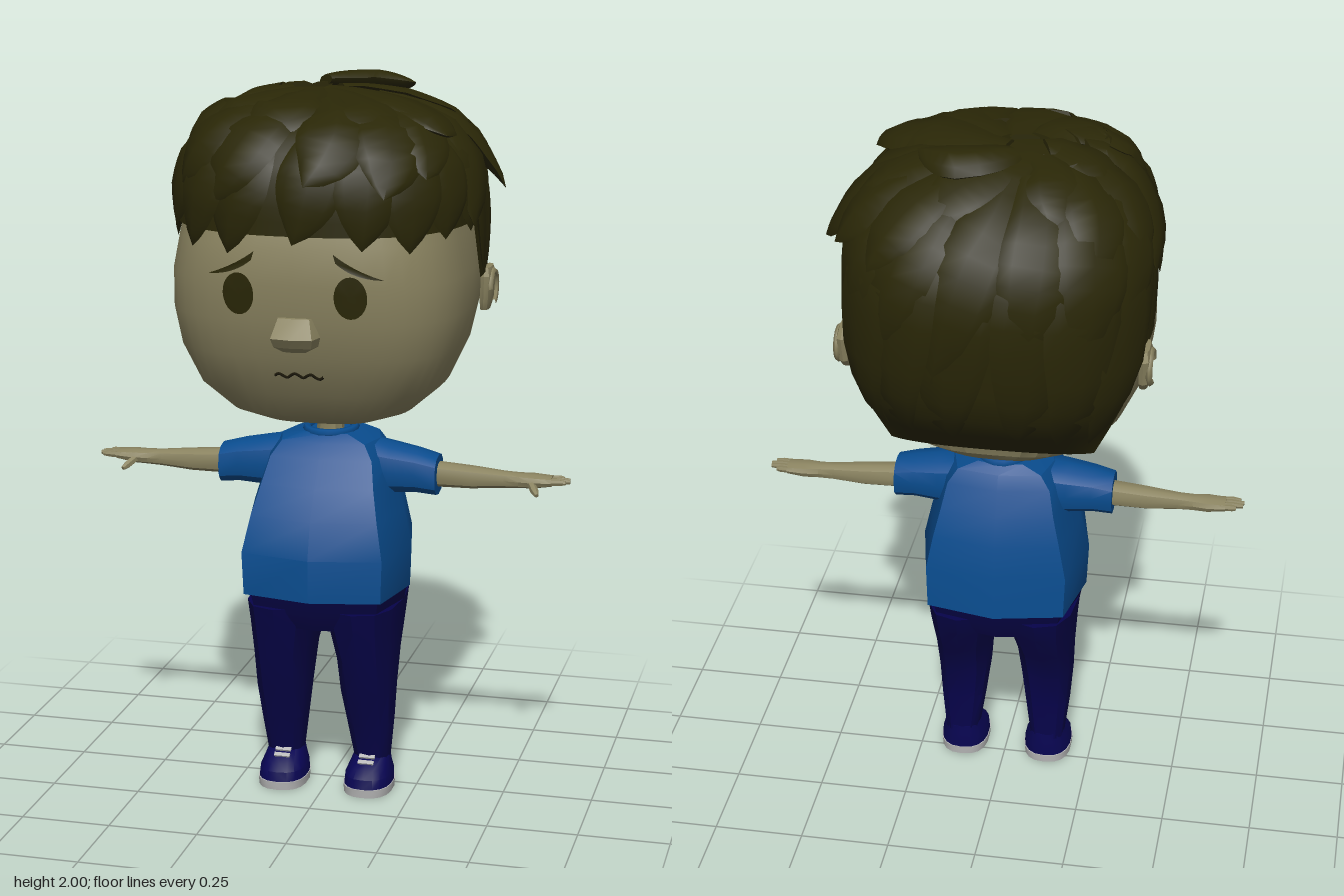
import * as THREE from 'three';
import { toCreasedNormals } from 'three/addons/utils/BufferGeometryUtils.js';

const mat = (name, color, side = THREE.FrontSide) => {
  const m = new THREE.MeshStandardMaterial({ color, side });
  m.name = name;
  return m;
};

// Skin over a list of rings (arrays of Vector3), closed at the start and end unless told otherwise
function skin(rings, crease = 0.6, closeStart = true) {
  const n = rings[0].length, pos = [], idx = [];
  rings.forEach(r => r.forEach(p => pos.push(p.x, p.y, p.z)));
  for (let i = 0; i < rings.length - 1; i++) for (let j = 0; j < n; j++) {
    const a = i * n + j, b = i * n + (j + 1) % n;
    idx.push(a, b, b + n, a, b + n, a + n);
  }
  [0, rings.length - 1].forEach((i, top) => {
    if (!top && !closeStart) return;
    const c = rings[i].reduce((s, p) => s.add(p), new THREE.Vector3()).divideScalar(n);
    const k = pos.length / 3;
    pos.push(c.x, c.y, c.z);
    for (let j = 0; j < n; j++) {
      const a = i * n + j, b = i * n + (j + 1) % n;
      top ? idx.push(k, a, b) : idx.push(k, b, a);
    }
  });
  const g = new THREE.BufferGeometry();
  g.setAttribute('position', new THREE.Float32BufferAttribute(pos, 3));
  g.setIndex(idx);
  return toCreasedNormals(g, crease);
}

// Rows are [y, centreX, halfX, zFront, zBack]; sections are superellipses
const pw = (v, e) => Math.sign(v) * Math.abs(v) ** e;
const onRow = ([y, cx, hx, zf, zb], a, n) => new THREE.Vector3(
  cx + hx * pw(Math.sin(a), 2 / n), y, (zf + zb) / 2 + (zf - zb) / 2 * pw(Math.cos(a), 2 / n));
const loft = (rows, n = 2.5, sides = 20, crease = 0.6) => skin(rows.map(r =>
  Array.from({ length: sides }, (_, j) => onRow(r, j / sides * Math.PI * 2, n))), crease);
function rowAt(rows, y) {
  let i = 0;
  while (i < rows.length - 2 && y > rows[i + 1][0]) i++;
  const t = THREE.MathUtils.clamp((y - rows[i][0]) / (rows[i + 1][0] - rows[i][0]), 0, 1);
  return rows[i].map((v, k) => v + (rows[i + 1][k] - v) * t);
}
// Loft along +x from rows [x, centreY, halfY, zFront, zBack]
const loftX = (rows, n, sides) =>
  loft(rows.map(([x, y, ...r]) => [x, -y, ...r]), n, sides).rotateZ(-Math.PI / 2);

// Mirror in x, keeping faces outward
function mirror(src) {
  const g = src.index ? src.toNonIndexed() : src.clone();
  g.scale(-1, 1, 1);
  for (const a of Object.values(g.attributes))
    for (let i = 0; i < a.count; i += 3) for (let k = 0; k < a.itemSize; k++) {
      const u = a.getComponent(i + 1, k);
      a.setComponent(i + 1, k, a.getComponent(i + 2, k));
      a.setComponent(i + 2, k, u);
    }
  return g;
}

const HEAD = [[1.09, 0, .17, .2, -.16], [1.12, 0, .25, .26, -.19], [1.19, 0, .33, .31, -.21], [1.3, 0, .38, .365, -.28],
  [1.4, 0, .4, .388, -.33], [1.5, 0, .4, .4, -.36], [1.6, 0, .382, .395, -.38], [1.75, 0, .35, .34, -.36], [1.88, 0, .2, .2, -.22]];
const HAIR = [[1.16, 0, .3, -.1, -.23], [1.33, 0, .385, .26, -.405], [1.46, 0, .408, .38, -.43], [1.62, 0, .4, .408, -.445],
  [1.72, 0, .39, .405, -.435], [1.8, 0, .365, .385, -.395], [1.87, -.005, .315, .335, -.33], [1.92, -.015, .23, .255, -.25],
  [1.95, -.05, .12, .12, -.18], [1.96, -.08, 0, -.06, -.06]];
const TOP = 1.96, RAD = Math.PI / 180, HAIR_N = 2.6;

// Depth of the face surface, used to lay features on it
function faceZ(x, y) {
  const [, , hx, zf, zb] = rowAt(HEAD, y);
  return (zf + zb) / 2 + (zf - zb) / 2 * (1 - Math.min(1, Math.abs(x / hx)) ** 3) ** (1 / 3);
}
function onFace(g, lift) {
  const p = g.attributes.position;
  for (let i = 0; i < p.count; i++) p.setZ(i, faceZ(p.getX(i), p.getY(i)) + lift);
  g.computeVertexNormals();
  return g;
}

// Lower edge of the hair by angle from the front
function hem(a) {
  const d = Math.abs(((a / RAD + 540) % 360) - 180);
  return d < 87 ? 1.63 : d < 116 ? 1.465 : 1.16;
}
function hairCap() {
  const rings = [];
  for (let i = 0; i <= 14; i++) {
    const f = Math.sin(i / 14 * Math.PI / 2);
    rings.push(Array.from({ length: 96 }, (_, j) => {
      const a = j / 96 * Math.PI * 2, h = hem(a);
      return onRow(rowAt(HAIR, h + (TOP - h) * f), a, HAIR_N);
    }));
  }
  return skin(rings, .6, false);
}
// Leaf-shaped lock running from the crown down to yTip
function lock(deg, yTip, t0, w, h, flare, swirl = 25) {
  const centre = new THREE.Vector3(0, 1.52, -.02);
  const path = t => onRow(rowAt(HAIR, TOP - (TOP - yTip) * (1 - Math.cos(t * Math.PI / 2))),
    (deg + swirl * (1 - t)) * RAD, HAIR_N);
  const rings = [];
  for (let i = 0; i <= 10; i++) {
    const u = i / 10, t = t0 + (1 - t0) * u, p = path(t);
    const T = path(Math.min(1, t + .03)).sub(path(t - .03)).normalize();
    const N = p.clone().sub(centre);
    N.addScaledVector(T, -N.dot(T)).normalize();
    const B = N.clone().cross(T), s = Math.sin(Math.PI * (.14 + .86 * u ** 1.25)) ** .85;
    p.addScaledVector(N, flare * u ** 3);
    rings.push(Array.from({ length: 8 }, (_, k) => p.clone()
      .addScaledVector(B, w * s * Math.cos(k * Math.PI / 4))
      .addScaledVector(N, h * s * Math.sin(k * Math.PI / 4))));
  }
  return skin(rings, .8);
}

export function createModel() {
  const root = new THREE.Group();
  root.name = 'boy';
  const M = {
    skin: mat('skin', 0x8a8360), hair: mat('hair', 0x2a2707, THREE.DoubleSide), shirt: mat('shirt', 0x094c8e, THREE.DoubleSide),
    trousers: mat('trousers', 0x06034a), shoe: mat('shoe', 0x080552), sole: mat('sole', 0xb8b8b8),
    eye: mat('eye', 0x2a2707, THREE.DoubleSide), mouth: mat('mouth', 0x1c180a),
  };
  const add = (name, g, m, parent = root) => {
    const mesh = new THREE.Mesh(g, m);
    mesh.name = name;
    parent.add(mesh);
  };
  const pair = (name, g, m) => {
    add(name + 'Left', g, m);
    add(name + 'Right', mirror(g), m);
  };

  // Head and neck
  add('head', loft(HEAD, 3, 40, .5), M.skin);
  add('neck', loft([[.98, 0, .045, .055, -.035], [1.05, 0, .036, .045, -.03], [1.12, 0, .045, .06, -.04]], 2, 10), M.skin);
  add('nose', loft([[1.325, 0, .035, .4, .32], [1.34, 0, .06, .42, .32], [1.365, 0, .066, .437, .32], [1.415, 0, .05, .405, .34]], 4, 8, .3), M.skin);
  pair('ear', loft([[1.355, .398, .012, -.125, -.185], [1.38, .4, .016, -.112, -.21], [1.45, .402, .018, -.108, -.222],
    [1.473, .4, .014, -.12, -.205]], 3, 10, .4), M.skin);
  pair('earRim', new THREE.TorusGeometry(.044, .009, 5, 14, Math.PI * 1.5).rotateZ(-Math.PI / 2)
    .rotateY(Math.PI / 2).translate(.417, 1.415, -.165), M.skin);

  // Face details
  pair('eye', onFace(new THREE.CircleGeometry(1, 24).scale(.043, .056, 1).translate(.15, 1.474, 0), .006), M.eye);
  const brow = new THREE.Shape();
  brow.moveTo(.235, 1.522);
  brow.quadraticCurveTo(.16, 1.547, .105, 1.588);
  brow.lineTo(.112, 1.565);
  brow.quadraticCurveTo(.16, 1.524, .235, 1.522);
  pair('brow', onFace(new THREE.ShapeGeometry(brow, 10), .009), M.eye);
  const wave = Array.from({ length: 13 }, (_, i) => {
    const x = -.066 + i * .011, y = 1.253 + .006 * Math.sin(i * 1.6) - 6e-4 * Math.abs(i - 6);
    return new THREE.Vector3(x, y, faceZ(x, y) + .001);
  });
  add('mouth', new THREE.TubeGeometry(new THREE.CatmullRomCurve3(wave), 36, .004, 5), M.mouth);

  // Hair: cap with layered locks
  const hair = new THREE.Group();
  hair.name = 'hair';
  root.add(hair);
  add('hairCap', hairCap(), M.hair, hair);
  let seed = 7;
  const rnd = () => (seed = (seed * 16807) % 2147483647) / 2147483647;
  const addLock = (...a) => add('hairLock', lock(...a), M.hair, hair);
  for (let d = -80; d <= 80; d += 20) addLock(d, 1.565 + rnd() * .06, .4, .09, .022, .008, 12); // fringe
  for (const s of [-1, 1]) for (const d of [93, 106]) addLock(s * d, 1.47, .4, .07, .014, .002, 0); // above the ears
  for (let d = 130; d <= 230; d += 20) addLock(d, 1.19 + rnd() * .05, .25, .11, .024, 0, 15); // nape
  for (let d = 125; d <= 235; d += 22) addLock(d, 1.45 + rnd() * .1, .2, .11, .028, .012, 20); // back layer
  // Flicked tips around the sides and front
  [[97, 1.69, .07], [114, 1.73, .05], [66, 1.83, .065], [48, 1.76, .05], [140, 1.72, .025], [3, 1.75, .05], [28, 1.72, .055],
    [-28, 1.7, .015], [-52, 1.73, .015], [-74, 1.82, .02], [-95, 1.65, .02], [-114, 1.72, .03], [-140, 1.74, .015], [80, 1.62, .02]]
    .forEach(([d, y, flare]) => addLock(d, y, .25, .1, .03, flare));
  for (let d = -165; d < 180; d += 45) // upper layer
    addLock(d + rnd() * 12, 1.83 + rnd() * .05, .2, .1, .026, d > 20 && d < 120 ? .04 : .01, 35);
  add('hairTuft', lock(100, 1.93, .1, .065, .03, .03, 60).translate(.03, .014, -.06), M.hair, hair);

  // Shirt
  add('shirt', loft([[.6, 0, .232, .262, -.203], [.72, 0, .237, .266, -.197], [.82, 0, .213, .238, -.183], [.9, 0, .19, .192, -.16],
    [.97, 0, .172, .142, -.127], [1.01, 0, .14, .112, -.11], [1.032, 0, .075, .085, -.09]], 3.7, 8, .5), M.shirt);
  add('collar', new THREE.TorusGeometry(.066, .012, 6, 18).rotateX(Math.PI / 2).scale(1, 1, 1.2).translate(0, 1.032, 0), M.shirt);
  pair('sleeve', loftX([[.1, .94, .075, .085, -.08], [.18, .932, .07, .085, -.07], [.25, .928, .061, .078, -.058],
    [.307, .918, .056, .072, -.05]], 2.4, 12), M.shirt);

  // Arms, hands and fingers
  pair('arm', loftX([[.27, .92, .036, .045, -.03], [.4, .915, .031, .036, -.03], [.49, .914, .023, .026, -.023],
    [.53, .914, .021, .027, -.025], [.57, .915, .02, .033, -.032], [.62, .917, .014, .03, -.031]], 2.3, 10), M.skin);
  [[-.022, .65], [-.007, .668], [.008, .67], [.022, .66]].forEach(([z, end], i) => pair('finger' + (i + 1), loftX([
    [.59, .917, .009, z + .008, z - .008], [.64, .919, .009, z + .0075, z - .0075], [end, .919, .006, z + .005, z - .005]], 2.4, 6), M.skin));
  pair('thumb', loft([[-.035, 0, .006, .006, -.006], [-.015, 0, .011, .011, -.011], [.03, 0, .011, .011, -.011]], 2, 6)
    .rotateX(-.95).rotateZ(.85).translate(.573, .904, .037), M.skin);

  // Trousers
  add('hips', loft([[.5, 0, .2, .195, -.145], [.55, 0, .214, .225, -.172], [.61, 0, .225, .247, -.193]], 3.2, 8), M.trousers);
  pair('leg', loft([[.08, .126, .05, .068, -.036], [.2, .124, .066, .1, -.035], [.3, .121, .076, .14, -.047],
    [.4, .119, .082, .172, -.092], [.5, .112, .097, .205, -.15], [.56, .11, .105, .222, -.17]], 2.6, 12), M.trousers);

  // Shoes
  pair('sole', loft([[0, .124, .068, .143, -.04], [.024, .124, .07, .146, -.042]], 2.5, 18), M.sole);
  pair('shoe', loft([[.024, .124, .068, .143, -.04], [.05, .124, .066, .137, -.04], [.07, .124, .058, .115, -.039],
    [.095, .125, .05, .072, -.037]], 2.4, 18), M.shoe);
  [[.086, .09], [.098, .074]].forEach(([y, z], i) => pair('lace' + (i + 1),
    new THREE.BoxGeometry(.045, .006, .012).rotateX(.55).translate(.122, y, z), M.sole));
  return root;
}
